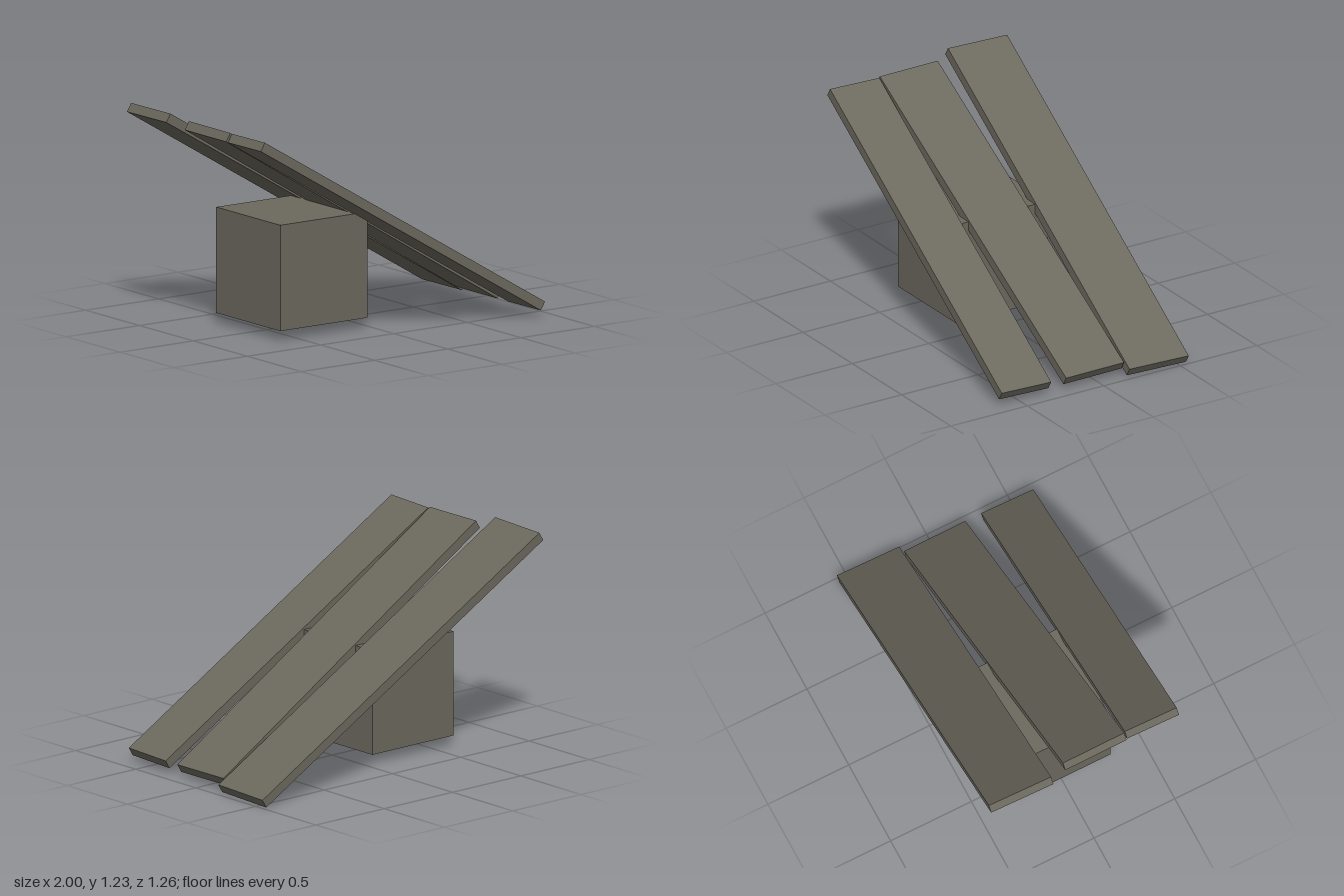
import * as THREE from 'three';

const THICKNESS = 0.054;
const SLOPE = 0.541;

export function createModel() {
  const model = new THREE.Group();
  model.name = 'plankRamp';

  const weatheredWood = new THREE.MeshStandardMaterial({ color: 0x6b685d });
  weatheredWood.name = 'weatheredWood';

  // Supporting block under the raised half
  const block = new THREE.Mesh(new THREE.BoxGeometry(0.595, 0.595, 0.595), weatheredWood);
  block.name = 'supportBlock';
  block.position.set(-0.328, 0.358, 0);
  model.add(block);

  // Sloping deck of three slightly skewed planks sharing one plane
  const deck = new THREE.Group();
  deck.name = 'slopingDeck';
  deck.position.y = 0.617;
  deck.rotation.z = -SLOPE;
  model.add(deck);

  const planks = [
    { name: 'backPlank', length: 2.288, width: 0.38, z: -0.403, yaw: -0.033 },
    { name: 'middlePlank', length: 2.175, width: 0.38, z: 0.031, yaw: 0.008 },
    { name: 'frontPlank', length: 2.168, width: 0.317, z: 0.432, yaw: -0.034 },
  ];
  for (const { name, length, width, z, yaw } of planks) {
    const plank = new THREE.Mesh(new THREE.BoxGeometry(length, THICKNESS, width), weatheredWood);
    plank.name = name;
    plank.position.z = z;
    plank.rotation.y = yaw;
    deck.add(plank);
  }

  return model;
}
